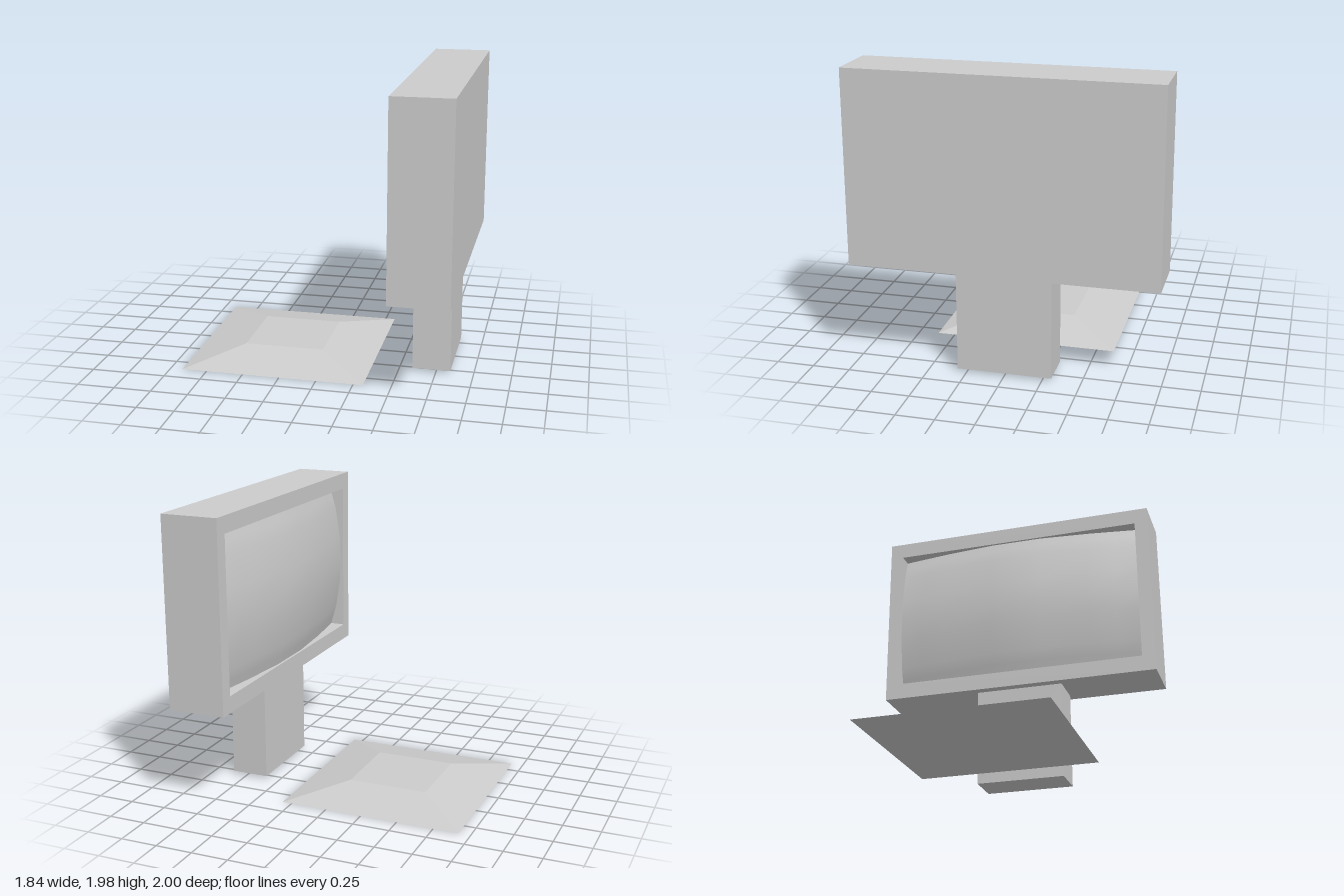
import * as THREE from 'three';

export function createModel() {
  const group = new THREE.Group();
  const flat = new THREE.MeshStandardMaterial({ color: 0xcccccc, flatShading: true });
  const smooth = new THREE.MeshStandardMaterial({ color: 0xcccccc, side: THREE.DoubleSide });

  const add = (name, geometry, x, y, z, material = flat) => {
    const mesh = new THREE.Mesh(geometry, material);
    mesh.name = name;
    mesh.position.set(x, y, z);
    group.add(mesh);
    return mesh;
  };

  const centreY = 1.338;

  // Separate base: a low square frustum
  const base = new THREE.CylinderGeometry(0.27 * Math.SQRT2, 0.617 * Math.SQRT2, 0.08, 4);
  base.rotateY(Math.PI / 4);
  add('base', base, -0.302, 0.04, 0);

  // Upright neck below the casing
  add('neck', new THREE.BoxGeometry(0.256, 0.68, 0.62), 0.72, 0.36, 0);

  // Casing: a deep frame, open towards -x, closed by a back panel
  const rectangle = (Type, w, h) => new Type([
    new THREE.Vector2(-w, -h), new THREE.Vector2(w, -h),
    new THREE.Vector2(w, h), new THREE.Vector2(-w, h),
  ]);
  const outline = rectangle(THREE.Shape, 1, 0.638);
  outline.holes.push(rectangle(THREE.Path, 0.905, 0.525));
  const frame = new THREE.ExtrudeGeometry(outline, { depth: 0.37, bevelEnabled: false });
  frame.rotateY(Math.PI / 2);
  add('casingFrame', frame, 0.528, centreY, 0);
  add('backPanel', new THREE.BoxGeometry(0.02, 1.276, 2), 0.908, centreY, 0);

  // Bulging screen: each axis has half-profile stations [offset, setback]
  const across = [[0, 0], [0.18, 0], [0.55, 0.035], [0.73, 0.06], [0.905, 0.085]];
  const upright = [[0, 0], [0.15, 0], [0.38, 0.035], [0.465, 0.06], [0.525, 0.077]];
  const station = (profile, i) => {
    const [offset, setback] = profile[Math.abs(i - 4)];
    return [Math.sign(i - 4) * offset, setback];
  };
  const screen = new THREE.PlaneGeometry(1, 1, 8, 8);
  const position = screen.attributes.position;
  for (let row = 0; row <= 8; row++) {
    for (let column = 0; column <= 8; column++) {
      const [u, du] = station(across, column);
      const [v, dv] = station(upright, row);
      position.setXYZ(row * 9 + column, u, -v, -du - dv);
    }
  }
  screen.rotateY(-Math.PI / 2);
  screen.computeVertexNormals();
  add('screen', screen, 0.468, centreY, 0, smooth);

  return group;
}
